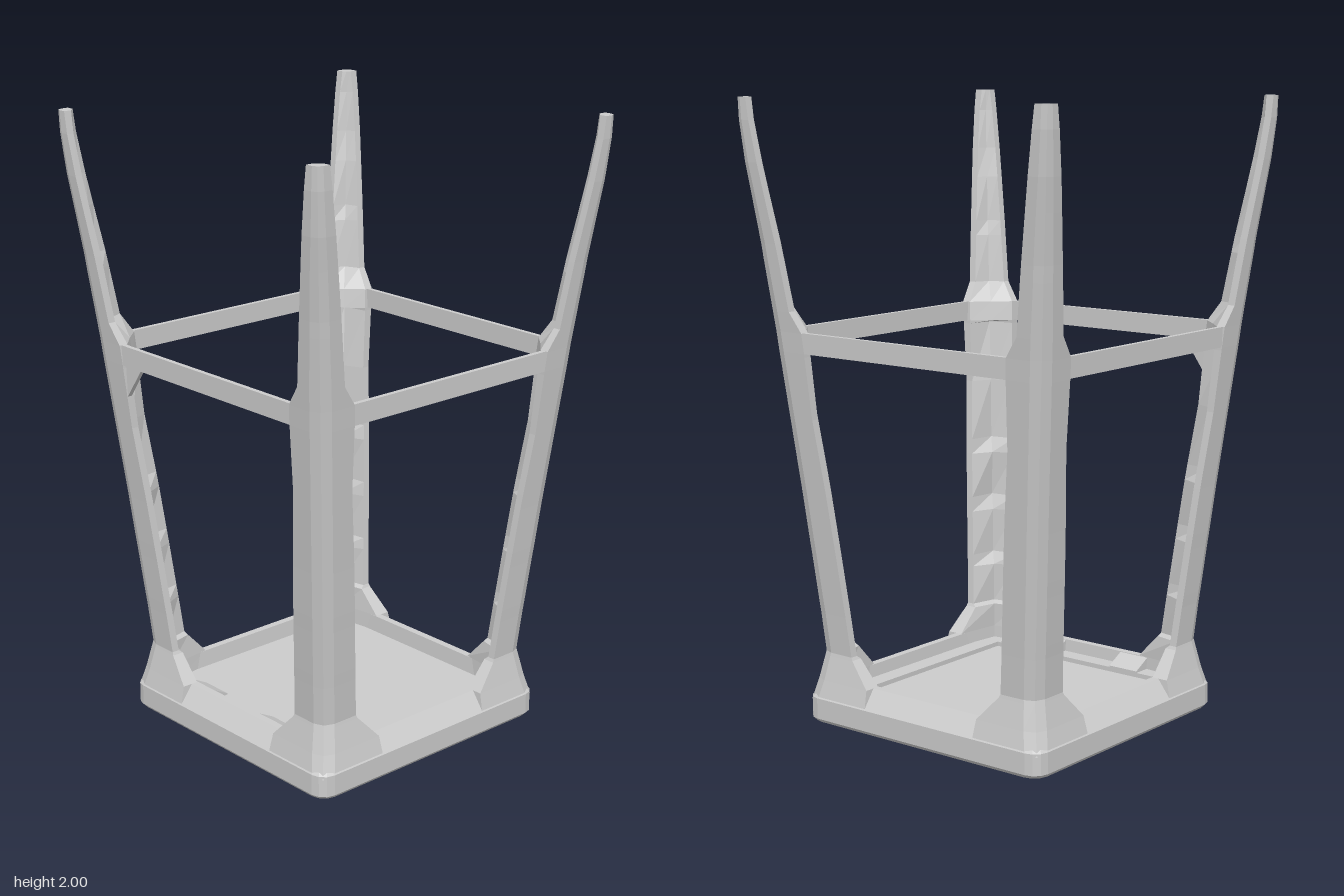
import * as THREE from 'three';

const material = new THREE.MeshStandardMaterial({ color: 0xcccccc, flatShading: true });

// Skin a stack of equal-length rings of [x, y, z]; both ends closed by a fan from point `hub`
function loft(rings, hub = 0) {
  const n = rings[0].length, index = [];
  for (let j = 0; j < rings.length - 1; j++) {
    for (let k = 0; k < n; k++) {
      const a = j * n + k, b = j * n + (k + 1) % n;
      index.push(a, a + n, b, b, a + n, b + n);
    }
  }
  const top = (rings.length - 1) * n;
  for (let k = 0; k < n; k++) {
    const m = (k + 1) % n;
    if (k === hub || m === hub) continue;
    index.push(hub, k, m, top + hub, top + m, top + k);
  }
  const g = new THREE.BufferGeometry();
  g.setAttribute('position', new THREE.Float32BufferAttribute(rings.flat(2), 3));
  g.setIndex(index);
  const flat = g.toNonIndexed();
  flat.computeVertexNormals();
  return flat;
}

// Square ring with rounded corners
function squareRing(h, y, r) {
  const ring = [];
  for (let q = 0; q < 4; q++) {
    for (let s = 0; s <= 3; s++) {
      const a = (q + s / 3) * Math.PI / 2, mid = (q + 0.5) * Math.PI / 2;
      ring.push([
        Math.sign(Math.cos(mid)) * (h - r) + r * Math.cos(a), y,
        Math.sign(Math.sin(mid)) * (h - r) + r * Math.sin(a),
      ]);
    }
  }
  return ring;
}

// Angle-section ring: outer face o, flange edge i, wall t, corner radius c, inner corner fill f
function angleRing([y, o, i, t, c, f]) {
  const m = o - t - f, e = o - 0.29 * c;
  return [[o, y, i], [o, y, o - c], [e, y, e], [o - c, y, o], [i, y, o], [i, y, o - t], [m, y, m], [o - t, y, i]];
}

export function createModel() {
  const model = new THREE.Group();
  const add = (name, geometry, parent = model) => {
    const mesh = new THREE.Mesh(geometry, material);
    mesh.name = name;
    parent.add(mesh);
    return mesh;
  };

  // Upturned seat: shallow tray with a bevelled rim
  add('seat', loft([
    [0.465, 0, 0.05], [0.475, 0.012, 0.05], [0.475, 0.08, 0.05],
    [0.425, 0.14, 0.03], [0.4, 0.14, 0.02], [0.395, 0.085, 0.02],
  ].map(([h, y, r]) => squareRing(h, y, r))));

  // Low ledges along two edges of the tray
  add('sideLedge', new THREE.BoxGeometry(0.06, 0.05, 0.78)).position.set(-0.367, 0.075, 0);
  add('frontLedge', new THREE.BoxGeometry(0.73, 0.05, 0.062)).position.set(0.028, 0.075, 0.362);

  // Wedge tabs sloping from the rim to the side ledge
  const wedge = new THREE.Shape([[-0.4, 0.09], [-0.337, 0.09], [-0.337, 0.105], [-0.4, 0.138]]
    .map(p => new THREE.Vector2(...p)));
  for (const [z, depth] of [[-0.26, 0.11], [0.08, 0.13]]) {
    add('rimTab', new THREE.ExtrudeGeometry(wedge, { depth, bevelEnabled: false })).position.z = z;
  }

  // Leg profile: y, outer face, flange edge, wall thickness, corner radius, inner corner fill
  const profile = [
    [0.07, 0.475, 0.22, 0.075, 0.05, 0.02], [0.14, 0.458, 0.225, 0.055, 0.05, 0.02],
    [0.22, 0.441, 0.3, 0.04, 0.045, 0.02], [0.23, 0.439, 0.305, 0.025, 0.045, 0.02],
    [0.36, 0.45, 0.318, 0.025, 0.045, 0.035], [0.4, 0.454, 0.322, 0.025, 0.045, 0.015],
    [0.55, 0.468, 0.337, 0.025, 0.045, 0.03], [0.6, 0.473, 0.342, 0.025, 0.045, 0.012],
    [0.75, 0.487, 0.358, 0.025, 0.045, 0.035], [0.8, 0.492, 0.364, 0.025, 0.045, 0.015],
    [1.0, 0.512, 0.39, 0.025, 0.045, 0.03], [1.2, 0.532, 0.4, 0.028, 0.045, 0.015],
    [1.21, 0.533, 0.4, 0.03, 0.045, 0.05], [1.275, 0.539, 0.405, 0.03, 0.045, 0.05],
    [1.34, 0.546, 0.45, 0.025, 0.045, 0.02], [1.5, 0.562, 0.475, 0.025, 0.04, 0.022],
    [1.55, 0.567, 0.483, 0.025, 0.04, 0.012], [1.7, 0.584, 0.51, 0.024, 0.035, 0.018],
    [1.8, 0.595, 0.528, 0.024, 0.03, 0.012], [1.93, 0.605, 0.55, 0.024, 0.025, 0.012],
    [2.0, 0.606, 0.56, 0.026, 0.022, 0.01],
  ];
  const legGeometry = loft(profile.map(angleRing), 6);
  const stretcherGeometry = new THREE.BoxGeometry(0.86, 0.065, 0.016);
  for (let q = 0; q < 4; q++) {
    const side = new THREE.Group();
    side.name = 'side';
    side.rotation.y = q * Math.PI / 2;
    model.add(side);
    add('leg', legGeometry, side);
    // Thin stretcher between neighbouring legs
    add('stretcher', stretcherGeometry, side).position.set(0, 1.243, 0.524);
  }

  // Small brace under one stretcher end
  const brace = new THREE.Shape([[0.32, 1.212], [0.4, 1.1], [0.42, 1.1], [0.42, 1.212]]
    .map(p => new THREE.Vector2(...p)));
  const braceMesh = add('brace', new THREE.ExtrudeGeometry(brace, { depth: 0.015, bevelEnabled: false }));
  braceMesh.rotation.y = Math.PI / 2;
  braceMesh.position.x = -0.52;

  return model;
}
